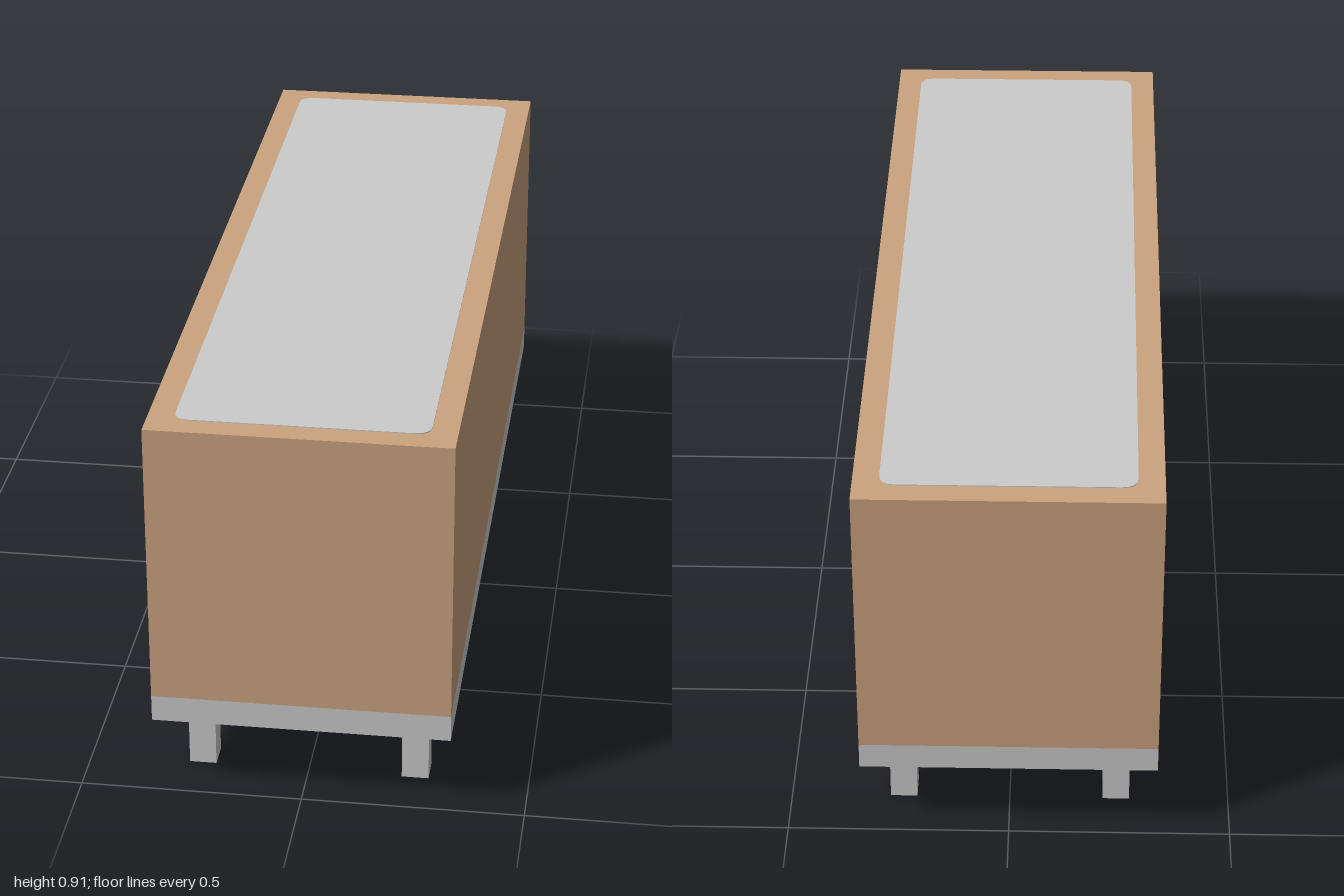
import * as THREE from 'three';

const WIDTH = 0.667, LENGTH = 2;
const LEG_TOP = 0.183, BAND_TOP = 0.245, TOP = 0.909;

// Rounded rectangle centred on the origin
function roundedRect(w, l, r) {
  const x = w / 2, y = l / 2;
  const s = new THREE.Shape();
  s.moveTo(-x + r, -y);
  s.lineTo(x - r, -y);
  s.quadraticCurveTo(x, -y, x, -y + r);
  s.lineTo(x, y - r);
  s.quadraticCurveTo(x, y, x - r, y);
  s.lineTo(-x + r, y);
  s.quadraticCurveTo(-x, y, -x, y - r);
  s.lineTo(-x, -y + r);
  s.quadraticCurveTo(-x, -y, -x + r, -y);
  return s;
}

export function createModel() {
  const model = new THREE.Group();
  model.name = 'bench';

  const wood = new THREE.MeshStandardMaterial({ color: 0xcca47f });
  wood.name = 'wood';
  const grey = new THREE.MeshStandardMaterial({ color: 0xcccccc });
  grey.name = 'light grey';

  // Box standing between two heights
  function addBox(name, material, w, l, y0, y1, x = 0, z = 0) {
    const mesh = new THREE.Mesh(new THREE.BoxGeometry(w, y1 - y0, l), material);
    mesh.name = name;
    mesh.position.set(x, (y0 + y1) / 2, z);
    model.add(mesh);
  }

  // Body and base band
  addBox('body', wood, WIDTH, LENGTH, BAND_TOP, TOP);
  addBox('baseBand', grey, WIDTH, LENGTH, LEG_TOP, BAND_TOP);

  // Inlaid top panel, a thin plate
  const panel = new THREE.Mesh(
    new THREE.ExtrudeGeometry(roundedRect(0.552, 1.89, 0.035), {
      depth: 0.002, bevelEnabled: false, curveSegments: 4,
    }),
    grey,
  );
  panel.name = 'topPanel';
  panel.rotation.x = -Math.PI / 2;
  panel.position.y = TOP;
  model.add(panel);

  // Four square legs
  for (const [side, sx] of [['Left', 1], ['Right', -1]]) {
    for (const [end, sz] of [['front', 1], ['back', -1]]) {
      addBox(`${end}${side}Leg`, grey, 0.061, 0.061, 0, LEG_TOP, sx * 0.243, sz * 0.851);
    }
  }

  return model;
}
